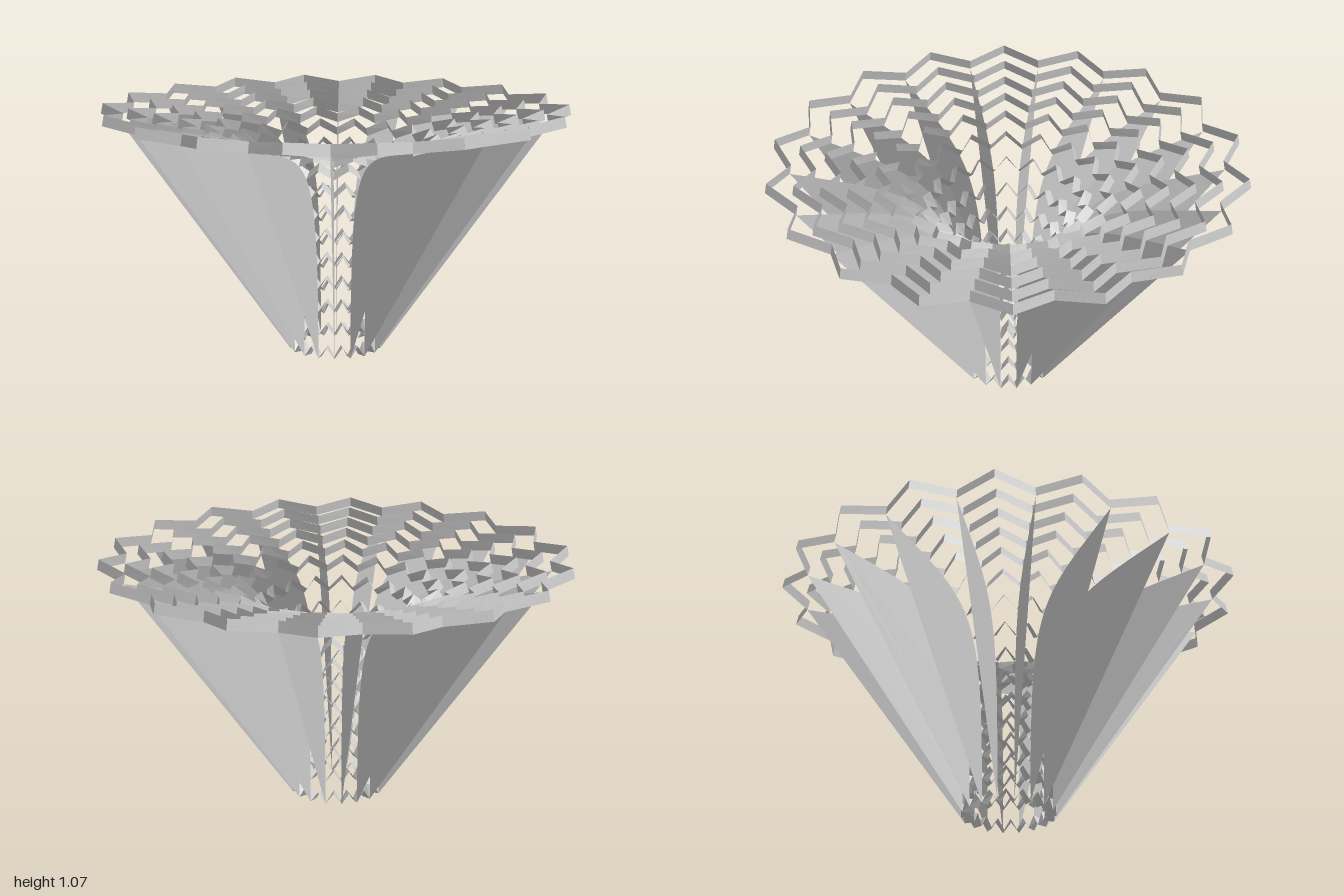
import * as THREE from 'three';

const POINTS = 18;      // zigzag points around each ring
const RINGS = 15;       // rings along the bowl profile
const DEPTH = 0.045;    // width of each ring strip

export function createModel() {
  const group = new THREE.Group();
  const material = new THREE.MeshStandardMaterial({
    color: 0xcccccc, flatShading: true, side: THREE.DoubleSide,
  });

  // Bowl profile (radius, height): rises steeply, then flares outward
  const profile = new THREE.CubicBezierCurve(
    new THREE.Vector2(0.2, 0), new THREE.Vector2(0.2, 0.91),
    new THREE.Vector2(0.3, 0.885), new THREE.Vector2(0.9, 1.005));

  // Zigzag strip: valleys lie on the profile, tips are pushed along its tangent
  function zigzagRing(u) {
    const base = profile.getPointAt(u);
    const tangent = profile.getTangentAt(u);
    const inward = new THREE.Vector2(-tangent.y, tangent.x).multiplyScalar(DEPTH);
    const tip = base.clone().addScaledVector(tangent, 0.035 + 0.072 * base.x);
    const count = POINTS * 2;
    const positions = [], indices = [];
    for (let i = 0; i < count; i++) {
      const a = (i / count) * Math.PI * 2;
      const outer = i % 2 ? base : tip;
      const inner = outer.clone().add(inward);
      for (const p of [outer, inner]) positions.push(p.x * Math.sin(a), p.y, p.x * Math.cos(a));
      const j = (i + 1) % count;
      indices.push(2 * i, 2 * j, 2 * j + 1, 2 * i, 2 * j + 1, 2 * i + 1);
    }
    const geometry = new THREE.BufferGeometry();
    geometry.setAttribute('position', new THREE.Float32BufferAttribute(positions, 3));
    geometry.setIndex(indices);
    geometry.computeVertexNormals();
    return geometry;
  }

  const rings = new THREE.Group();
  rings.name = 'zigzagRings';
  for (let k = 0; k < RINGS; k++) {
    const ring = new THREE.Mesh(zigzagRing(k / (RINGS - 1)), material);
    ring.name = `zigzagRing${k + 1}`;
    rings.add(ring);
  }
  group.add(rings);

  // Thin radial fins under every valley: curved inner edge, straight outer edge
  const finGeometry = new THREE.ShapeGeometry(new THREE.Shape(profile.getSpacedPoints(42)));
  const fins = new THREE.Group();
  fins.name = 'radialFins';
  for (let i = 0; i < POINTS; i++) {
    const fin = new THREE.Mesh(finGeometry, material);
    fin.name = `radialFin${i + 1}`;
    fin.rotation.y = ((i + 0.5) / POINTS) * Math.PI * 2 - Math.PI / 2;
    fins.add(fin);
  }
  group.add(fins);

  return group;
}
